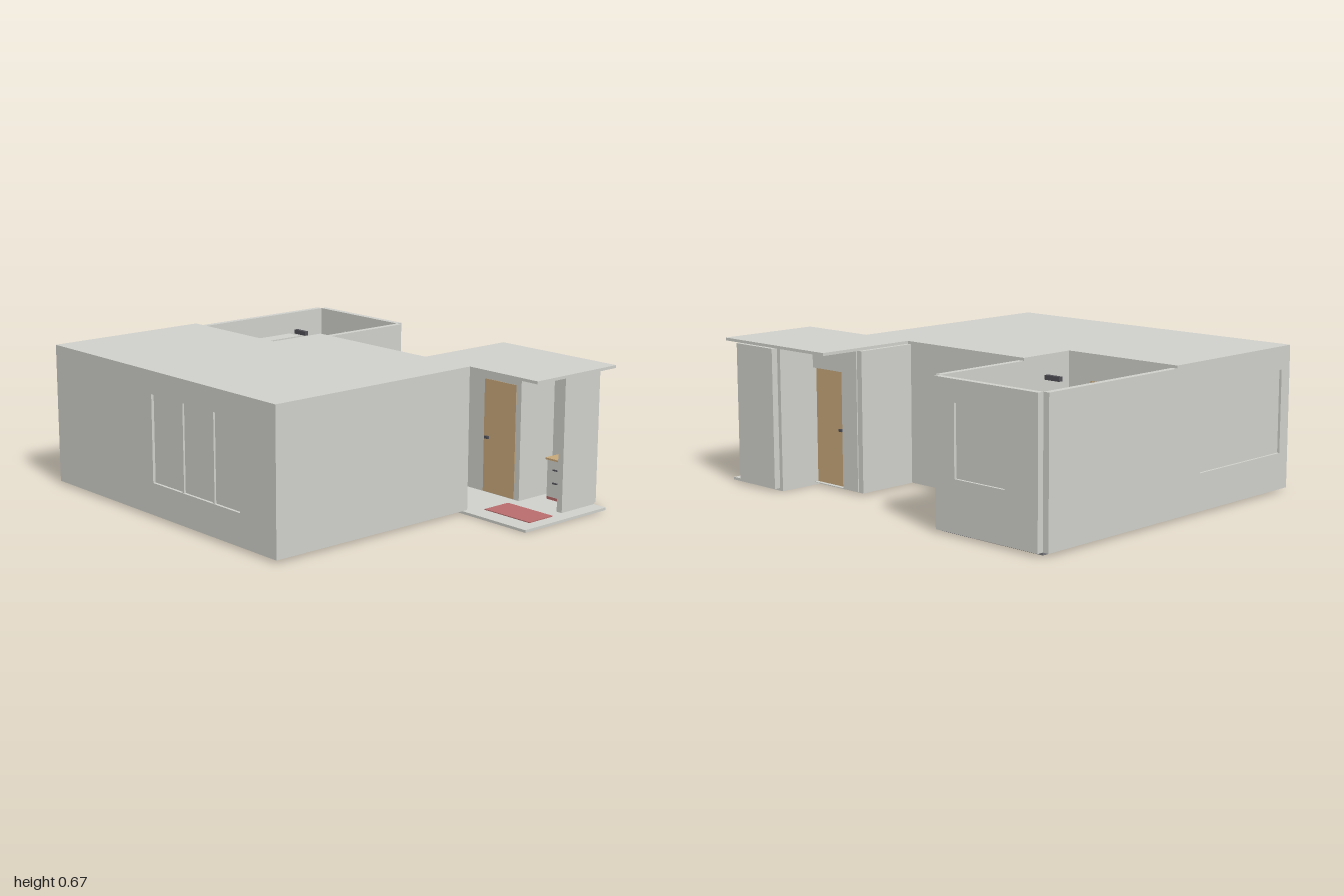
import * as THREE from 'three';

const mat = (name, color) => {
  const m = new THREE.MeshStandardMaterial({ color });
  m.name = name;
  return m;
};

export function createModel() {
  const house = new THREE.Group();
  house.name = 'house';
  const plaster = mat('plaster', 0xd0d0cb);
  const wood = mat('wood', 0xc8a87a);
  const slate = mat('slate', 0x78777c);
  const red = mat('red rug', 0xb96c6c);
  const dark = mat('dark metal', 0x505055);

  const add = (name, geo, m) => {
    const mesh = new THREE.Mesh(geo, m);
    mesh.name = name;
    house.add(mesh);
    return mesh;
  };
  // box given by its limits on each axis
  const box = (name, m, [x0, x1], [y0, y1], [z0, z1]) => {
    const b = add(name, new THREE.BoxGeometry(x1 - x0, y1 - y0, z1 - z0), m);
    b.position.set((x0 + x1) / 2, (y0 + y1) / 2, (z0 + z1) / 2);
    return b;
  };
  const rect = (P, u0, u1, v0, v1) => {
    const p = new P();
    p.moveTo(u0, v0);
    p.lineTo(u1, v0);
    p.lineTo(u1, v1);
    p.lineTo(u0, v1);
    p.closePath();
    return p;
  };
  const Y0 = 0.012, Y1 = 0.652, T = 0.03;
  // wall along x, or along z when alongZ; at = low side of its thickness
  const wall = (name, alongZ, u0, u1, at, holes = []) => {
    // mirrored so that u runs along +z after the quarter turn
    const s = alongZ ? -1 : 1;
    const span = (a, b) => (alongZ ? [-b, -a] : [a, b]);
    const shape = rect(THREE.Shape, ...span(u0, u1), Y0, Y1);
    for (const [a, b, c, d] of holes) shape.holes.push(rect(THREE.Path, ...span(a, b), c, d));
    const geo = new THREE.ExtrudeGeometry(shape, { depth: T, bevelEnabled: false });
    if (s < 0) geo.rotateY(Math.PI / 2);
    geo.translate(alongZ ? at : 0, 0, alongZ ? 0 : at);
    return add(name, geo, plaster);
  };

  // floors
  box('mainFloor', plaster, [-0.97, 0.57], [0, Y0], [0, 0.78]);
  box('rearFloor', plaster, [-0.4, 0.57], [0, Y0], [-0.26, 0]);
  box('kitchenFloor', slate, [-0.97, -0.4], [0, Y0], [-0.79, 0]);
  box('porchFloor', plaster, [0.33, 0.98], [0, Y0], [-0.565, -0.26]);
  box('alcoveFloor', plaster, [0.625, 0.98], [0, Y0], [-0.785, -0.565]);

  // outer walls
  wall('frontWall', false, -1, 0.6, 0.78, [[-0.25, 0.365, 0.16, 0.56]]);
  wall('rightSideWall', true, -0.79, 0.78, -1, [[0.17, 0.75, 0.18, 0.56]]);
  wall('leftSideWall', true, -0.29, 0.78, 0.57);
  wall('rearWall', false, -0.365, 0.57, -0.29);

  // kitchen walls
  wall('kitchenBackWall', false, -0.97, -0.4, -0.82, [[-0.79, -0.51, 0.24, 0.555]]);
  wall('kitchenSideWall', true, -0.79, 0, -0.4);
  wall('kitchenInnerWall', false, -0.97, -0.4, 0, [[-0.765, -0.53, 0.014, 0.545]]);

  // porch walls
  wall('entrySideWall', true, -0.59, -0.29, 0.3);
  wall('entryDoorWall', false, 0.33, 0.655, -0.595, [[0.43, 0.625, 0.014, 0.545]]);
  wall('alcoveInnerWall', true, -0.785, -0.595, 0.625);
  wall('alcoveOuterWall', true, -0.785, -0.57, 0.88);
  wall('alcoveBackWall', false, 0.645, 0.895, -0.815);

  // roofs
  const roofY = [Y1, 0.665];
  box('mainRoof', plaster, [-1, 0.6], roofY, [0, 0.81]);
  box('rearRoof', plaster, [-0.4, 0.6], roofY, [-0.29, 0]);
  box('porchRoof', plaster, [0.32, 1], roofY, [-0.795, -0.29]);

  // window panes, set back inside their openings
  const xs = [-0.25, -0.035, 0.18, 0.365];
  for (let i = 0; i < 3; i++) {
    box('frontWindowPane', plaster, [xs[i], xs[i + 1]], [0.16, 0.56], [0.79, 0.797]);
    if (i) box('frontWindowPost', plaster, [xs[i] - 0.006, xs[i] + 0.006], [0.16, 0.56], [0.785, 0.806]);
  }
  box('sideWindowPane', plaster, [-0.988, -0.981], [0.18, 0.56], [0.17, 0.75]);
  box('kitchenWindowPane', plaster, [-0.79, -0.51], [0.24, 0.555], [-0.808, -0.801]);

  // entry door with a handle on both faces
  box('entryDoor', wood, [0.43, 0.625], [0.014, 0.545], [-0.575, -0.563]);
  for (const z of [-0.58, -0.556]) {
    box('entryDoorHandle', dark, [0.445, 0.465], [0.268, 0.28], [z - 0.006, z + 0.006]);
  }

  // open kitchen door and its frame
  box('kitchenDoor', wood, [-0.772, -0.76], [0.014, 0.54], [-0.205, -0.005]);
  for (const x of [-0.765, -0.535]) {
    box('kitchenDoorJamb', wood, [x, x + 0.006], [0.014, 0.545], [-0.004, 0.034]);
  }
  box('kitchenDoorHead', wood, [-0.765, -0.53], [0.539, 0.545], [-0.004, 0.034]);

  // alcove chest, mirror frame and porch rug
  box('chest', plaster, [0.71, 0.81], [0.025, 0.198], [-0.785, -0.69]);
  box('chestTop', wood, [0.703, 0.817], [0.198, 0.206], [-0.785, -0.684]);
  box('chestPlinth', red, [0.71, 0.81], [Y0, 0.025], [-0.785, -0.69]);
  for (const y of [0.093, 0.155]) {
    box('chestHandle', dark, [0.747, 0.773], [y - 0.003, y + 0.003], [-0.69, -0.683]);
  }
  const frame = rect(THREE.Shape, 0.713, 0.807, 0.232, 0.478);
  frame.holes.push(rect(THREE.Path, 0.718, 0.802, 0.237, 0.473));
  add('mirrorFrame', new THREE.ExtrudeGeometry(frame, { depth: 0.008, bevelEnabled: false }), wood)
    .position.z = -0.785;
  box('porchRug', red, [0.65, 0.92], [Y0, 0.016], [-0.5, -0.35]);

  // kitchen counters, sink and tap
  box('sideCounter', slate, [-0.955, -0.79], [Y0, 0.22], [-0.785, -0.21]);
  box('backCounter', slate, [-0.79, -0.475], [Y0, 0.22], [-0.785, -0.625]);
  box('sink', plaster, [-0.705, -0.585], [0.22, 0.225], [-0.76, -0.655]);
  box('tap', dark, [-0.648, -0.642], [0.225, 0.255], [-0.76, -0.735]);

  // wall cupboard, fridge and rug
  box('wallCupboard', plaster, [-0.955, -0.872], [0.37, 0.55], [-0.56, -0.23]);
  box('fridge', plaster, [-0.945, -0.79], [Y0, 0.45], [-0.2, -0.02]);
  box('kitchenRug', red, [-0.785, -0.55], [Y0, 0.016], [-0.59, -0.25]);

  // round faceted pots beside the wall
  for (const [z, r] of [[-0.345, 0.045], [-0.26, 0.055]]) {
    const geo = new THREE.SphereGeometry(r, 12, 8);
    const flat = geo.toNonIndexed();
    flat.computeVertexNormals();
    add('roundPot', flat, dark).position.set(-0.475, Y0 + r, z);
  }

  // ceiling lamps
  box('kitchenLamp', dark, [-0.7, -0.62], [0.61, 0.63], [-0.4, -0.38]);
  box('porchLamp', dark, [0.73, 0.79], [0.637, Y1], [-0.44, -0.41]);

  return house;
}
